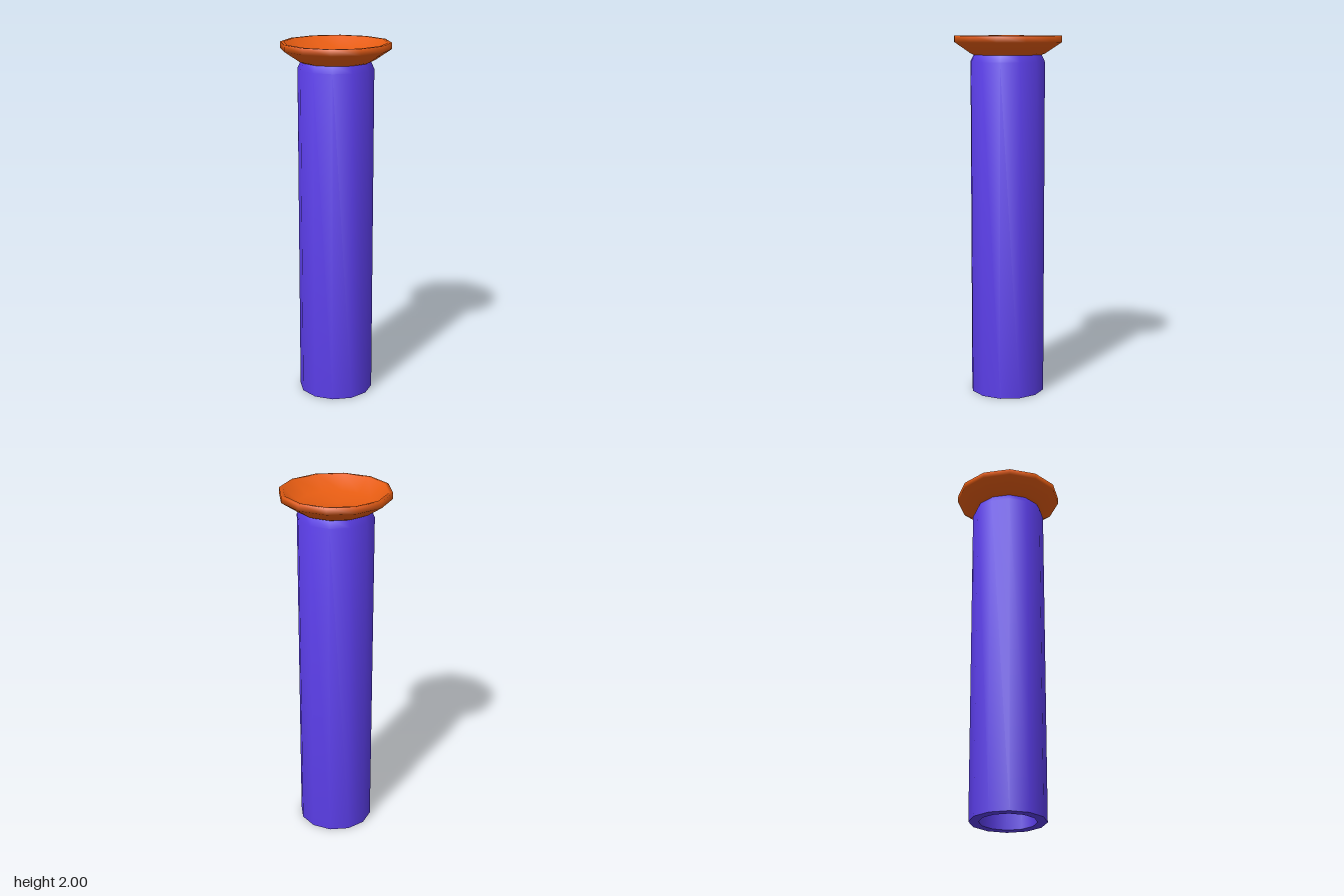
import * as THREE from 'three';
import { toCreasedNormals } from 'three/addons/utils/BufferGeometryUtils.js';

const SIDES = 12;

// Turn a profile of [radius, height] points around the y axis
function lathe(points) {
  return new THREE.LatheGeometry(points.map(([r, y]) => new THREE.Vector2(r, y)), SIDES);
}

function addPart(group, name, geometry, color) {
  const mesh = new THREE.Mesh(geometry, new THREE.MeshStandardMaterial({ color }));
  mesh.name = name;
  group.add(mesh);
}

export function createModel() {
  const model = new THREE.Group();
  model.name = 'dishTopColumn';

  // Hollow shaft, open at the bottom, with a chamfered shoulder
  const shaft = lathe([
    [0, 1.88], [0.155, 1.88], [0.155, 0], [0.208, 0], [0.208, 1.86], [0.188, 1.9],
  ]);
  addPart(model, 'shaft', toCreasedNormals(shaft, 0.8), 0x5a3de6);

  // Flared dish with a soft rim and a shallow floor
  const dish = lathe([
    [0.185, 1.895], [0.21, 1.905], [0.3, 1.965], [0.3, 2], [0.28, 2], [0.2, 1.93], [0, 1.92],
  ]);
  addPart(model, 'dish', dish, 0xe65c12);

  return model;
}
